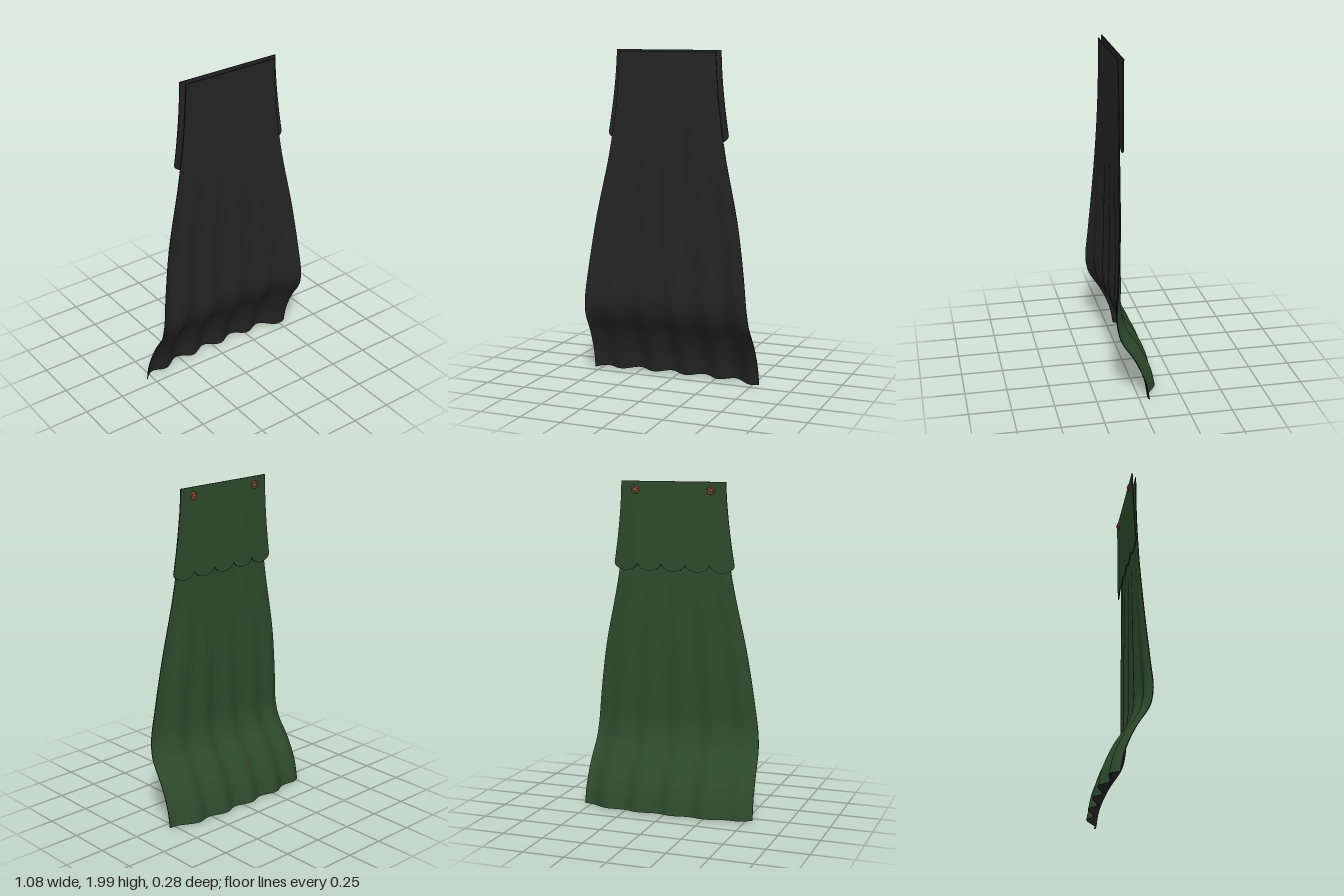
import * as THREE from 'three';

const green = new THREE.MeshStandardMaterial({ color: 0x2d4a2d });
green.name = 'green cloth';
const lining = new THREE.MeshStandardMaterial({ color: 0x242424, side: THREE.DoubleSide });
lining.name = 'dark lining';
const copper = new THREE.MeshStandardMaterial({ color: 0x8f5c3a });
copper.name = 'copper';

// Grid surface from point(u, v): u runs -1..1 across, v runs 0..1 downwards
function sheet(point, nu, nv, dz, facesFront) {
  const pos = [], index = [];
  for (let j = 0; j <= nv; j++) {
    for (let i = 0; i <= nu; i++) {
      const p = point(-1 + 2 * i / nu, j / nv);
      pos.push(p.x, p.y, p.z + dz);
    }
  }
  for (let j = 0; j < nv; j++) {
    for (let i = 0; i < nu; i++) {
      const a = j * (nu + 1) + i, b = a + 1, c = a + nu + 1, d = c + 1;
      if (facesFront) index.push(a, c, b, b, c, d);
      else index.push(a, b, c, b, d, c);
    }
  }
  return finish(pos, index);
}

// Narrow strip closing the gap between the two sheets along all four borders
function rim(point, nu, nv, t) {
  const loop = [];
  for (let i = 0; i < nu; i++) loop.push(point(-1 + 2 * i / nu, 0));
  for (let j = 0; j < nv; j++) loop.push(point(1, j / nv));
  for (let i = nu; i > 0; i--) loop.push(point(-1 + 2 * i / nu, 1));
  for (let j = nv; j > 0; j--) loop.push(point(-1, j / nv));
  const pos = [], index = [], n = loop.length;
  loop.forEach((p, k) => {
    pos.push(p.x, p.y, p.z + t, p.x, p.y, p.z - t);
    const a = 2 * k, b = 2 * ((k + 1) % n);
    index.push(a, b, a + 1, b, b + 1, a + 1);
  });
  return finish(pos, index);
}

function finish(pos, index) {
  const g = new THREE.BufferGeometry();
  g.setAttribute('position', new THREE.Float32BufferAttribute(pos, 3));
  g.setIndex(index);
  g.computeVertexNormals();
  return g;
}

function addMesh(parent, name, geometry, material) {
  const m = new THREE.Mesh(geometry, material);
  m.name = name;
  parent.add(m);
  return m;
}

// Thin two-coloured cloth: green behind, lining in front
function cloth(name, point, nu, nv, thickness) {
  const g = new THREE.Group(), t = thickness / 2;
  g.name = name;
  addMesh(g, name + 'Outside', sheet(point, nu, nv, -t, false), green);
  addMesh(g, name + 'Lining', sheet(point, nu, nv, t, true), lining);
  addMesh(g, name + 'Edge', rim(point, nu, nv, t), lining);
  return g;
}

// Side profile of the cape: half width, height, depth
const profile = new THREE.CatmullRomCurve3([
  [0.302, 1.99, 0.082], [0.322, 1.7, 0.079], [0.366, 1.4, 0.077], [0.45, 1.0, 0.075],
  [0.495, 0.7, 0.077], [0.518, 0.5, 0.075], [0.527, 0.39, 0.044], [0.534, 0.26, -0.036],
  [0.538, 0.12, -0.096], [0.54, 0.01, -0.118],
].map(p => new THREE.Vector3(...p)));

function capePoint(u, v) {
  const p = profile.getPoint(v);
  const d = (2 - p.y) / 2;
  const wave = Math.cos(2 * Math.PI * (u + 0.1) / 0.395);
  const curl = 0.066 * Math.min(1, d / 0.8) ** 2 * Math.abs(u) ** 4;
  const hem = 0.004 * wave * Math.max(0, v - 0.9) * 10;
  return new THREE.Vector3(u * p.x, p.y + hem, p.z + curl - 0.02 * d * d * wave);
}

// Shoulder flap with five scallops along its lower edge
function flapPoint(u, v) {
  const scallop = Math.sqrt(Math.abs(Math.sin((u + 1) * 2.5 * Math.PI)));
  const y = 2 - v * (0.49 + 0.045 * scallop);
  const d = Math.min(1, (2 - y) / 0.5);
  const halfWidth = 0.328 + 0.053 * d ** 1.6;
  return new THREE.Vector3(u * halfWidth, y, 0.056 + 0.012 * d * Math.abs(u) ** 3);
}

export function createModel() {
  const model = new THREE.Group();
  model.name = 'cape';
  model.add(cloth('mainCape', capePoint, 100, 60, 0.005));
  model.add(cloth('shoulderFlap', flapPoint, 120, 24, 0.006));

  // Round fasteners on the back of the flap
  for (const side of [1, -1]) {
    const clasp = new THREE.Group();
    clasp.name = side > 0 ? 'leftClasp' : 'rightClasp';
    const disc = addMesh(clasp, 'claspDisc', new THREE.CylinderGeometry(0.022, 0.022, 0.01, 20), copper);
    disc.rotation.x = Math.PI / 2;
    const ring = addMesh(clasp, 'claspRing', new THREE.TorusGeometry(0.02, 0.005, 8, 20), copper);
    ring.position.z = -0.003;
    const knob = addMesh(clasp, 'claspKnob', new THREE.SphereGeometry(0.01, 12, 8), copper);
    knob.position.z = -0.005;
    clasp.position.set(side * 0.237, 1.95, 0.05);
    model.add(clasp);
  }
  return model;
}
